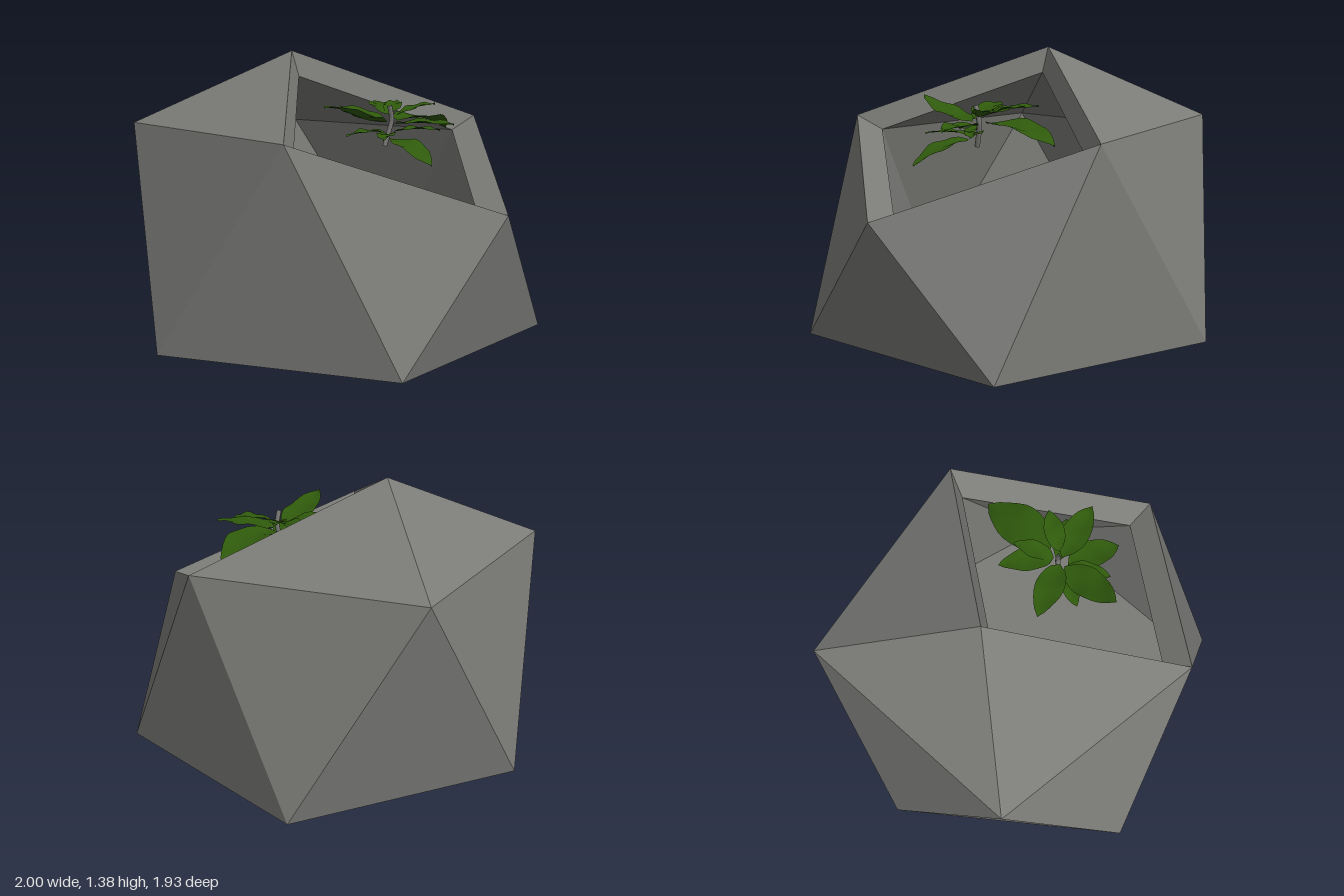
import * as THREE from 'three';

const V = (x, y, z) => new THREE.Vector3(x, y, z);

// Corners of the faceted pot (front = +z, back = -z)
const corners = {
  peak: V(-0.28, 1.375, 0), lip: V(1, 0.67, 0), heel: V(-1, 0.0, 0),
  shoulderF: V(-0.81, 1.025, 0.6), shoulderB: V(-0.81, 1.025, -0.6),
  rimF: V(0.325, 1.02, 0.78), rimB: V(0.325, 1.02, -0.78),
  footF: V(-0.3, 0, 0.965), footB: V(-0.3, 0, -0.965),
  toeF: V(0.84, 0, 0.6), toeB: V(0.84, 0, -0.6),
};
const centre = V(0, 0.6, 0);
const opening = V(0.34, 1.02, 0);
const WALL = 0.835; // inner shell scale
const inset = (p) => p.clone().sub(centre).multiplyScalar(WALL).add(centre);

// Facets of the shell; the opening (peak, rimF, lip, rimB) is left out
const c = corners;
const facets = [
  [c.peak, c.shoulderF, c.shoulderB], [c.heel, c.shoulderF, c.shoulderB], [c.lip, c.toeF, c.toeB],
  [c.heel, c.footF, c.footB], [c.footF, c.toeF, c.footB], [c.toeF, c.toeB, c.footB],
];
for (const s of ['F', 'B']) {
  const [shoulder, rim, foot, toe] = ['shoulder', 'rim', 'foot', 'toe'].map((n) => c[n + s]);
  facets.push([c.peak, shoulder, rim], [shoulder, c.heel, foot], [shoulder, foot, rim],
    [rim, foot, toe], [rim, toe, c.lip]);
}

// Flat triangles, each turned to face towards (or away from) a point
function facetGeometry(tris, point, towards) {
  const pts = [];
  for (const [a, b, d] of tris) {
    const n = b.clone().sub(a).cross(d.clone().sub(a));
    const mid = a.clone().add(b).add(d).divideScalar(3);
    const faces = n.dot(point.clone().sub(mid)) > 0;
    pts.push(...(faces === towards ? [a, b, d] : [a, d, b]));
  }
  const g = new THREE.BufferGeometry().setFromPoints(pts);
  g.computeVertexNormals();
  return g;
}

// Pointed leaf from base to tip, gently arched, folded along its midrib and wavy
function leafGeometry(base, tip, width, arch) {
  const g = new THREE.PlaneGeometry(1, 1, 4, 10);
  const p = g.attributes.position;
  const along = tip.clone().sub(base);
  const side = V(-along.z, 0, along.x).normalize();
  for (let i = 0; i < p.count; i++) {
    const u = p.getX(i) * 2, t = p.getY(i) + 0.5;
    const w = (width / 2) * Math.pow(Math.sin(Math.PI * Math.pow(t, 0.85)), 0.75) || 0;
    const q = base.clone().addScaledVector(along, t).addScaledVector(side, u * w);
    q.y += arch * Math.sin(Math.PI * t) + 0.2 * Math.abs(u) * w + 0.006 * u * Math.sin(t * 14);
    p.setXYZ(i, q.x, q.y, q.z);
  }
  g.computeVertexNormals();
  return g;
}

export function createModel() {
  const model = new THREE.Group();
  const concrete = new THREE.MeshStandardMaterial({ color: 0x7b7b78 });
  concrete.name = 'concrete grey';
  const green = new THREE.MeshStandardMaterial({ color: 0x2f5a0c, side: THREE.DoubleSide });
  green.name = 'leaf green';
  const add = (parent, name, geometry, material) => {
    const mesh = new THREE.Mesh(geometry, material);
    mesh.name = name;
    parent.add(mesh);
  };

  // Pot: outer shell, hollow inside and the bevelled rim joining them
  const pot = new THREE.Group();
  pot.name = 'pot';
  add(pot, 'outerShell', facetGeometry(facets, centre, false), concrete);
  add(pot, 'innerShell', facetGeometry(facets.map((f) => f.map(inset)), centre, true), concrete);
  const loop = [c.peak, c.rimF, c.lip, c.rimB];
  const rim = loop.flatMap((a, i) => {
    const b = loop[(i + 1) % 4];
    return [[a, b, inset(b)], [a, inset(b), inset(a)]];
  });
  add(pot, 'rim', facetGeometry(rim, opening, true), concrete);

  // Plant: short stem and a rosette of leaves
  const plant = new THREE.Group();
  plant.name = 'plant';
  const stemPath = new THREE.CatmullRomCurve3([V(0.29, 0.93, -0.02), V(0.3, 1.0, -0.04), V(0.31, 1.06, -0.05), V(0.31, 1.13, -0.03)]);
  add(plant, 'stem', new THREE.TubeGeometry(stemPath, 8, 0.013, 6), concrete);

  // base, tip, width, arch
  const leaves = [
    [V(0.31, 1.05, -0.1), V(0.32, 0.98, -0.52), 0.22, 0.03],
    [V(0.3, 1.05, 0.0), V(0.29, 1.15, 0.33), 0.16, -0.02],
    [V(0.29, 1.06, -0.02), V(0.0, 1.11, 0.09), 0.14, 0.01],
    [V(0.29, 1.08, -0.06), V(0.07, 1.12, -0.22), 0.12, 0.01],
    [V(0.29, 1.08, -0.06), V(0.2, 1.13, -0.24), 0.09, 0.01],
    [V(0.33, 1.04, -0.04), V(0.63, 1.05, -0.11), 0.14, 0.005],
    [V(0.34, 0.97, -0.01), V(0.63, 0.87, 0.08), 0.15, 0.02],
    [V(0.33, 1.08, -0.06), V(0.44, 1.13, -0.23), 0.1, 0.01],
    [V(0.32, 0.99, -0.01), V(0.43, 0.99, 0.19), 0.09, 0.01],
    [V(0.32, 1.0, -0.05), V(0.51, 1.01, -0.17), 0.09, 0.01],
    [V(0.3, 1.0, -0.01), V(0.2, 0.99, 0.17), 0.09, 0.01],
  ];
  leaves.forEach((l, i) => add(plant, `leaf${i + 1}`, leafGeometry(...l), green));

  model.add(pot, plant);
  return model;
}
